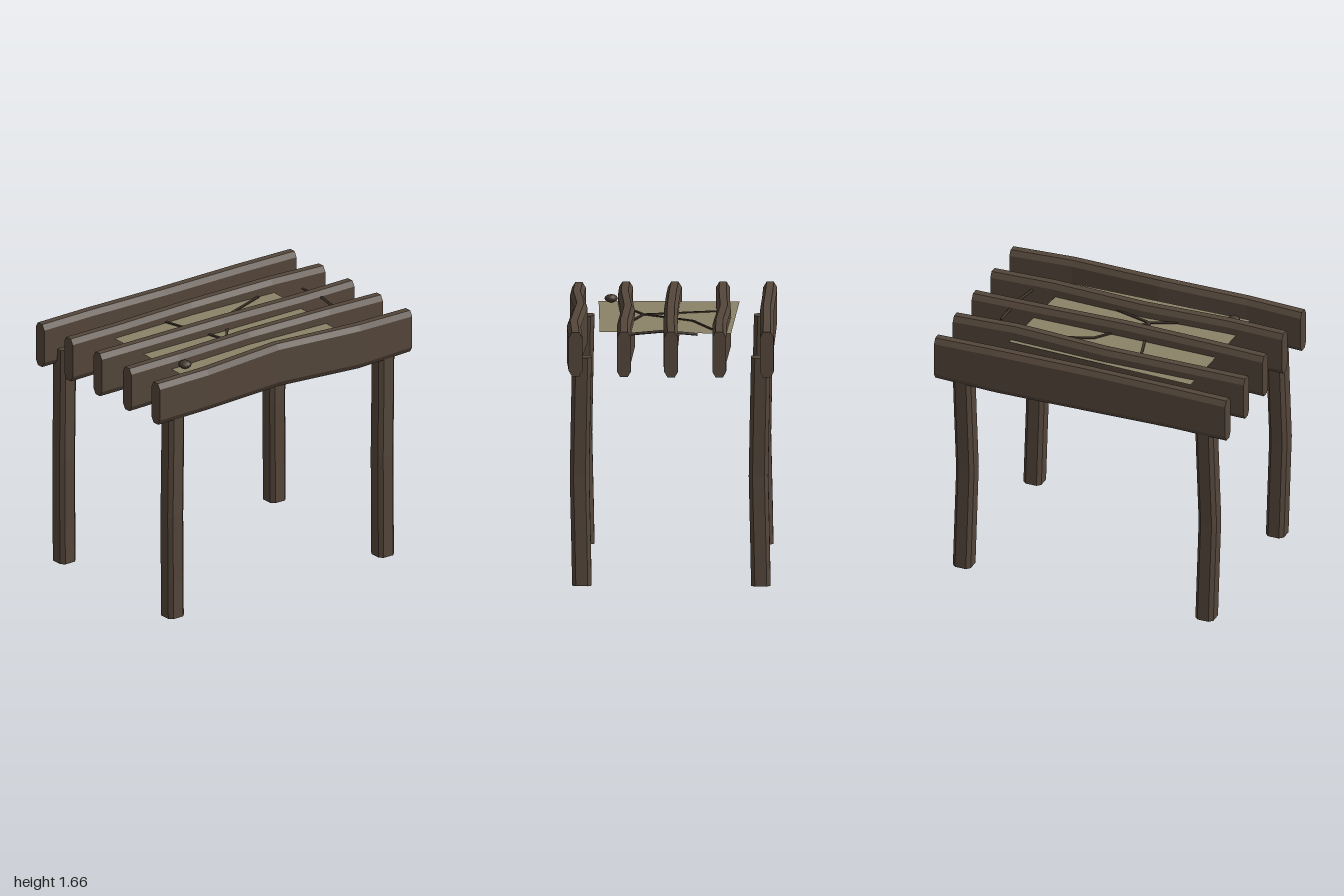
import * as THREE from 'three';

// Octagonal chamfered section, counter-clockwise
function chamfered(w, h, cw, ch) {
  const a = w / 2, b = h / 2;
  return [[a, -b + ch], [a, b - ch], [a - cw, b], [-a + cw, b],
    [-a, b - ch], [-a, -b + ch], [-a + cw, -b], [a - cw, -b]];
}

// Join rings of points into a closed, flat-faced solid
function loft(rings) {
  const pos = [], n = rings[0].length;
  const tri = (...p) => p.forEach(v => pos.push(...v));
  for (let r = 0; r + 1 < rings.length; r++) {
    for (let i = 0; i < n; i++) {
      const j = (i + 1) % n, a = rings[r], b = rings[r + 1];
      tri(a[i], a[j], b[j]);
      tri(a[i], b[j], b[i]);
    }
  }
  const first = rings[0], last = rings[rings.length - 1];
  for (let i = 1; i + 1 < n; i++) {
    tri(first[0], first[i + 1], first[i]);
    tri(last[0], last[i], last[i + 1]);
  }
  const g = new THREE.BufferGeometry();
  g.setAttribute('position', new THREE.Float32BufferAttribute(pos, 3));
  g.computeVertexNormals();
  return g;
}

export function createModel() {
  const group = new THREE.Group();
  const wood = new THREE.MeshStandardMaterial({ color: 0x54463a });
  wood.name = 'wood';
  const darkWood = new THREE.MeshStandardMaterial({ color: 0x40342b });
  darkWood.name = 'darkWood';
  const parchment = new THREE.MeshStandardMaterial({ color: 0x8b8368, side: THREE.DoubleSide });
  parchment.name = 'parchment';

  const add = (name, geometry, material) => {
    const mesh = new THREE.Mesh(geometry, material);
    mesh.name = name;
    group.add(mesh);
    return mesh;
  };

  // Five warped planks: z, top and bottom at each station along x
  const stations = [-1, -0.62, -0.04, 0.58, 1];
  const planks = [
    { z: [0.598, 0.607, 0.577, 0.613, 0.597], top: [1.64, 1.648, 1.665, 1.65, 1.64], bottom: [1.36, 1.37, 1.375, 1.355, 1.36] },
    { z: [0.3, 0.304, 0.278, 0.296, 0.292], top: [1.645, 1.65, 1.65, 1.655, 1.645], bottom: [1.355, 1.365, 1.345, 1.345, 1.355] },
    { z: [-0.008, 0, 0.006, 0.003, -0.006], top: [1.645, 1.65, 1.655, 1.645, 1.645], bottom: [1.355, 1.36, 1.34, 1.34, 1.355] },
    { z: [-0.312, -0.315, -0.328, -0.307, -0.31], top: [1.645, 1.645, 1.65, 1.66, 1.645], bottom: [1.355, 1.36, 1.35, 1.35, 1.355] },
    { z: [-0.61, -0.608, -0.6, -0.607, -0.61], top: [1.645, 1.65, 1.65, 1.65, 1.645], bottom: [1.355, 1.36, 1.345, 1.34, 1.355] },
  ];
  planks.forEach((p, k) => {
    const rings = stations.map((x, i) => {
      const mid = (p.top[i] + p.bottom[i]) / 2;
      return chamfered(p.top[i] - p.bottom[i], 0.088, 0.035, 0.021)
        .map(([u, v]) => [x, mid + u, p.z[i] + v]);
    });
    add('plank' + (k + 1), loft(rings), wood);
  });

  // Four bent legs, all leaning the same way
  const bend = [[0, 0, 0], [0.26, -0.006, 0.005], [0.7, -0.016, 0.015], [1.14, -0.004, 0.007], [1.46, 0.003, 0]];
  for (const x of [-0.838, 0.828]) {
    for (const z of [0.559, -0.571]) {
      const rings = bend.map(([y, dx, dz]) => chamfered(0.123, 0.123, 0.024, 0.024)
        .map(([u, v]) => [x + dx + v, y, z + dz + u]));
      add((z > 0 ? 'front' : 'back') + (x > 0 ? 'Left' : 'Right') + 'Leg', loft(rings), wood);
    }
  }

  // Parchment sheet lying between the planks
  const outline = [[-0.663, -0.42], [0.604, -0.38], [0.54, 0.45], [-0.69, 0.47]];
  const sheet = new THREE.ShapeGeometry(new THREE.Shape(outline.map(([x, z]) => new THREE.Vector2(x, -z))));
  sheet.rotateX(-Math.PI / 2);
  add('sheet', sheet, parchment).position.y = 1.571;

  // Bars running from point to point
  const bar = (name, a, b, make) => {
    const p = new THREE.Vector3(...a), q = new THREE.Vector3(...b);
    const mesh = add(name, make(p.distanceTo(q)), darkWood);
    mesh.position.copy(p).add(q).multiplyScalar(0.5);
    mesh.lookAt(q);
  };

  // Drawn lines on the sheet
  const lines = [
    [[-0.26, -0.31], [-0.123, 0.18]],
    [[-0.123, 0.18], [0.128, -0.134]],
    [[0.128, -0.134], [0.46, -0.257]],
    [[-0.123, 0.18], [-0.29, 0.25]],
    [[-0.123, 0.18], [0.13, 0.247]],
  ];
  lines.forEach(([a, b], i) => bar('sheetLine' + (i + 1), [a[0], 1.577, a[1]], [b[0], 1.577, b[1]],
    length => new THREE.BoxGeometry(0.017, 0.008, length + 0.006)));

  // Loose stick bridging two planks
  const stick = [[0.748, 1.589, -0.17], [0.733, 1.606, 0.05], [0.714, 1.585, 0.25]];
  for (let i = 0; i < 2; i++) {
    bar('stick' + (i + 1), stick[i], stick[i + 1],
      length => new THREE.CylinderGeometry(0.009, 0.009, length, 6).rotateX(Math.PI / 2).toNonIndexed());
  }

  // Small pebble at the corner of the sheet
  const pebble = add('pebble', new THREE.IcosahedronGeometry(0.042, 1), darkWood);
  pebble.position.set(-0.61, 1.6, 0.39);
  pebble.scale.y = 0.64;

  return group;
}
